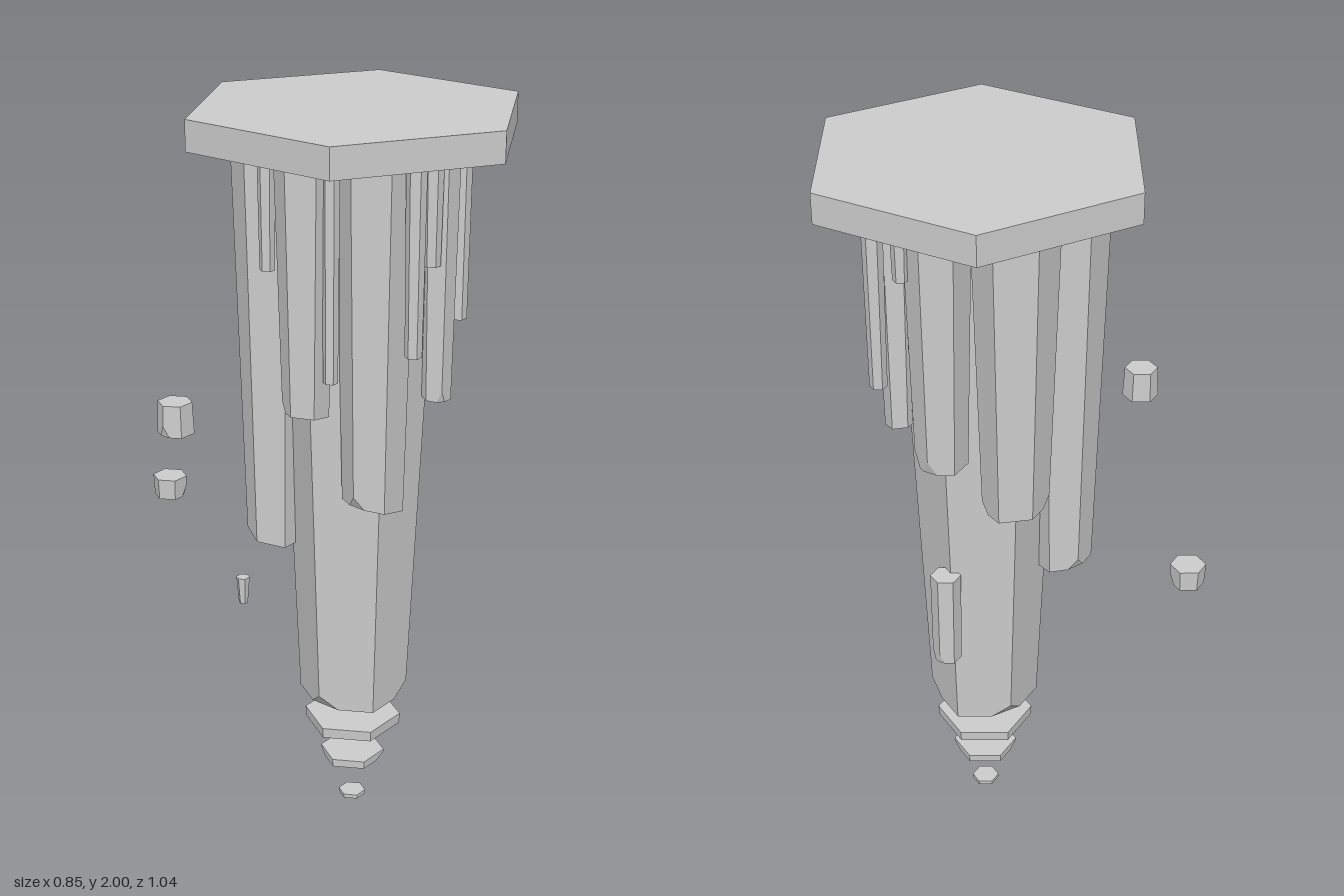
import * as THREE from 'three';
import { ConvexGeometry } from 'three/addons/geometries/ConvexGeometry.js';

const stone = new THREE.MeshStandardMaterial({ color: 0xcccccc, flatShading: true });

// Tapered hexagonal prism. Corners are numbered from +x towards +z.
// tilt slopes the lower end along x and z; chips break off lower corners.
function hexShard(name, x, z, y0, y1, r0, r1, { tilt = [0, 0], chips = [], chip = 0.03, turn = 0 } = {}) {
  const corner = (k, r, y) => {
    const a = k * Math.PI / 3 + turn;
    return new THREE.Vector3(r * Math.cos(a), y, r * Math.sin(a));
  };
  const low = (k) => {
    const p = corner(k, r0, y0);
    p.y += p.x * tilt[0] + p.z * tilt[1];
    return p;
  };
  const points = [];
  for (let k = 0; k < 6; k++) {
    const top = corner(k, r1, y1), p = low(k);
    points.push(top);
    if (chips.includes(k)) {
      // three points replace the broken corner
      points.push(p.clone().lerp(top, chip / (y1 - y0)));
      points.push(p.clone().lerp(low(k + 1), 0.35), p.clone().lerp(low(k + 5), 0.35));
    } else points.push(p);
  }
  const mesh = new THREE.Mesh(new ConvexGeometry(points), stone);
  mesh.position.set(x, 0, z);
  mesh.name = name;
  return mesh;
}

export function createModel() {
  const model = new THREE.Group();
  model.name = 'hangingBasaltPlatform';
  const add = (...args) => model.add(hexShard(...args));
  const cx = 0.037, cz = 0.071, under = 1.92;

  // Flat platform and the central column
  add('platform', cx, cz, under, 2, 0.447, 0.447, { turn: Math.PI / 6 });
  add('centralColumn', cx, cz, 0.345, under, 0.149, 0.215, { chips: [1, 3, 5], chip: 0.04 });

  // Slices floating below the column
  [[0.245, 0.275, 0.135], [0.13, 0.153, 0.09], [0, 0.012, 0.038]].forEach(([y0, y1, r], i) =>
    add('floatingSlice' + (i + 1), cx, cz, y0, y1, r * 0.985, r,
      i === 1 ? { chips: [1, 4], chip: 0.015 } : {}));

  // Large columns around the centre: x, z, bottom, lower radius, upper radius, lower end
  [
    [-0.07, 0.215, 0.99, 0.08, 0.1, { tilt: [-0.22, -0.05], chips: [3] }],
    [-0.19, 0.09, 1.25, 0.06, 0.078, { tilt: [-0.15, 0], chips: [4] }],
    [-0.065, -0.123, 0.81, 0.077, 0.107, { tilt: [0, -0.2], chips: [5] }],
    [0.2, -0.125, 1.135, 0.085, 0.108, { tilt: [0, -0.15], chips: [1, 4] }],
    [0.262, 0.055, 1.245, 0.067, 0.083, { chips: [0, 1], chip: 0.04 }],
    [0.14, 0.258, 1.24, 0.041, 0.052, { tilt: [0, -0.15], chips: [2] }],
  ].forEach(([x, z, y, r0, r1, end], i) => add('outerColumn' + (i + 1), x, z, y, under, r0, r1, end));

  // Thin columns: x, z, bottom, radius
  [
    [-0.057, 0.328, 1.42, 0.022],
    [0.093, 0.272, 1.61, 0.022],
    [0.205, 0.158, 1.51, 0.021],
    [0.264, 0.238, 1.42, 0.023],
    [0.315, 0.125, 1.77, 0.02],
    [-0.183, 0.165, 1.35, 0.019],
    [-0.17, -0.05, 1.6, 0.02],
    [-0.13, -0.15, 1.79, 0.022],
  ].forEach(([x, z, y, r], i) => add('thinColumn' + (i + 1), x, z, y, under, r, r * 1.2));

  // Block clinging to the side of the central column
  add('sideBlock', 0.222, 0.078, 0.585, 0.86, 0.039, 0.041, { chips: [0, 1], chip: 0.03 });

  // Loose fragments drifting behind and beside it
  add('fragmentBack', -0.1, -0.482, 0.838, 0.897, 0.045, 0.048, { chips: [1] });
  add('fragmentRight', -0.38, -0.186, 1.19, 1.275, 0.049, 0.045, { chips: [3] });
  add('fragmentSmall', -0.29, -0.045, 0.71, 0.785, 0.012, 0.018);
  return model;
}
